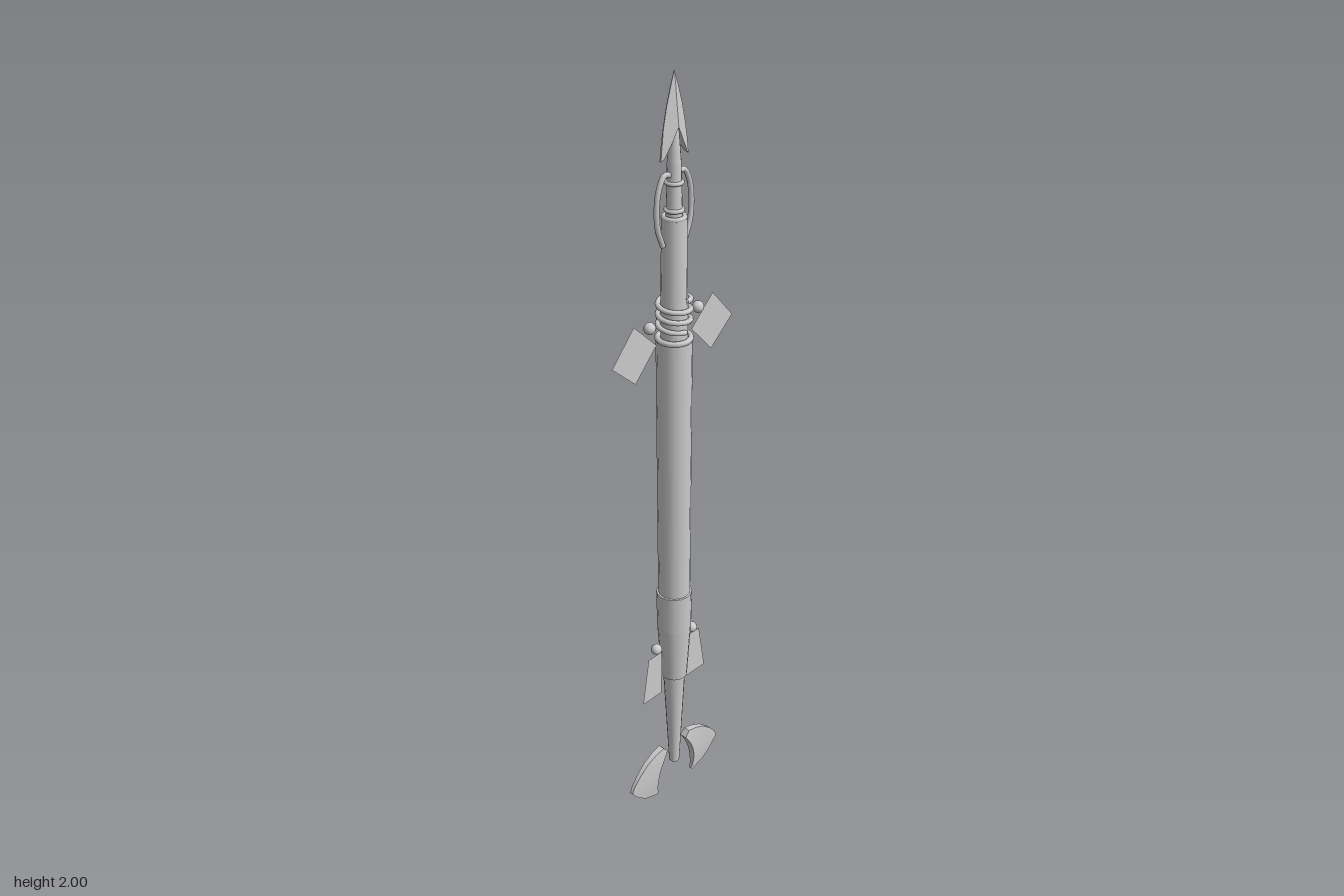
import * as THREE from 'three';
import { toCreasedNormals } from 'three/addons/utils/BufferGeometryUtils.js';

const mat = new THREE.MeshStandardMaterial({ color: 0xcccccc });
const thin = new THREE.MeshStandardMaterial({ color: 0xcccccc, side: THREE.DoubleSide });

function add(parent, name, geometry, material = mat) {
  const mesh = new THREE.Mesh(geometry, material);
  mesh.name = name;
  parent.add(mesh);
  return mesh;
}

// Upright round section between two heights
function rod(parent, name, y0, y1, r0, r1, sides = 16) {
  const mesh = add(parent, name, new THREE.CylinderGeometry(r1, r0, y1 - y0, sides));
  mesh.position.y = (y0 + y1) / 2;
}

function collar(parent, name, y, radius, tube) {
  const mesh = add(parent, name, new THREE.TorusGeometry(radius, tube, 8, 20));
  mesh.rotation.x = Math.PI / 2;
  mesh.position.y = y;
}

// Blade lofted from rows of [outerZ, outerY, innerZ, innerY, outerHalf, innerHalf]
function blade(rows) {
  const pos = [], index = [];
  for (const [oz, oy, iz, iy, to, ti] of rows) {
    pos.push(to, oy, oz, -to, oy, oz, -ti, iy, iz, ti, iy, iz);
  }
  for (let i = 0; i < rows.length - 1; i++) {
    for (let k = 0; k < 4; k++) {
      const a = i * 4 + k, b = i * 4 + (k + 1) % 4;
      index.push(a, b, b + 4, a, b + 4, a + 4);
    }
  }
  const e = (rows.length - 1) * 4;
  index.push(0, 2, 1, 0, 3, 2, e, e + 1, e + 2, e, e + 2, e + 3);
  const geo = new THREE.BufferGeometry();
  geo.setAttribute('position', new THREE.Float32BufferAttribute(pos, 3));
  geo.setIndex(index);
  return toCreasedNormals(geo, 0.6);
}

// Flat cloth tag in the zy plane
function tag(points) {
  const geo = new THREE.ShapeGeometry(new THREE.Shape(points.map(([z, y]) => new THREE.Vector2(z, y))));
  return geo.rotateY(-Math.PI / 2);
}

function bead(parent, name, z, y) {
  add(parent, name, new THREE.SphereGeometry(0.0145, 16, 12)).position.set(0, y, z);
}

// Everything repeated on the front and back of the shaft
function createSide() {
  const side = new THREE.Group();

  add(side, 'spearheadHalf', blade([
    [0, 2, 0, 2, 0.0005, 0.0005],
    [0.012, 1.965, 0, 1.965, 0.001, 0.005],
    [0.024, 1.925, 0, 1.925, 0.001, 0.009],
    [0.034, 1.88, 0, 1.88, 0.001, 0.014],
    [0.039, 1.845, 0.016, 1.85, 0.002, 0.011],
    [0.043, 1.81, 0.034, 1.818, 0.002, 0.006],
  ]), thin);

  const hook = new THREE.CatmullRomCurve3([
    [0.01, 1.772], [0.03, 1.777], [0.049, 1.745], [0.055, 1.7], [0.051, 1.655], [0.036, 1.615],
  ].map(([z, y]) => new THREE.Vector3(0, y, z)));
  add(side, 'hook', new THREE.TubeGeometry(hook, 24, 0.0065, 8), thin);

  bead(side, 'upperBead', 0.08, 1.43);
  add(side, 'upperTag', tag([[0.13, 1.45], [0.058, 1.38], [0.127, 1.305], [0.2, 1.37]]), thin);
  bead(side, 'lowerBead', 0.066, 0.505);
  add(side, 'lowerTag', tag([[0.095, 0.485], [0.046, 0.485], [0.048, 0.35], [0.117, 0.35]]), thin);

  add(side, 'buttBlade', blade([
    [0.05, 0.159, 0.036, 0.142, 0.009, 0.01],
    [0.08, 0.151, 0.046, 0.127, 0.008, 0.012],
    [0.11, 0.136, 0.056, 0.108, 0.007, 0.012],
    [0.14, 0.11, 0.064, 0.088, 0.006, 0.011],
    [0.16, 0.085, 0.069, 0.068, 0.005, 0.01],
    [0.167, 0.068, 0.071, 0.05, 0.005, 0.009],
    [0.145, 0.04, 0.071, 0.034, 0.004, 0.007],
    [0.115, 0.016, 0.069, 0.018, 0.004, 0.005],
    [0.07, 0, 0.065, 0.006, 0.003, 0.003],
  ]), thin);
  return side;
}

export function createModel() {
  const model = new THREE.Group();
  model.name = 'ceremonialSpear';

  // Shaft from butt to neck
  rod(model, 'buttShaft', 0.085, 0.39, 0.014, 0.029);
  rod(model, 'sleeveTaper', 0.39, 0.55, 0.034, 0.044);
  rod(model, 'sleeve', 0.55, 0.66, 0.044, 0.046);
  rod(model, 'mainShaft', 0.66, 1.38, 0.041, 0.043);
  rod(model, 'upperShaft', 1.38, 1.675, 0.032, 0.029);
  rod(model, 'neck', 1.67, 1.8, 0.019, 0.016);
  rod(model, 'socket', 1.8, 1.89, 0.016, 0.009);

  // Bands on the neck and at the shoulder
  collar(model, 'shoulderRing', 1.38, 0.039, 0.007);
  collar(model, 'neckBase', 1.675, 0.024, 0.006);
  collar(model, 'neckBand', 1.692, 0.019, 0.005);
  collar(model, 'neckTopBand', 1.755, 0.018, 0.005);

  // Cord wound round the upper shaft
  const coil = [];
  for (let i = 0; i <= 48; i++) {
    const a = i / 48 * Math.PI * 6;
    coil.push(new THREE.Vector3(Math.cos(a) * 0.038, 1.405 + 0.076 * i / 48, Math.sin(a) * 0.038));
  }
  add(model, 'cord', new THREE.TubeGeometry(new THREE.CatmullRomCurve3(coil), 120, 0.0065, 8));

  const front = createSide();
  front.name = 'frontFittings';
  const back = createSide();
  back.name = 'backFittings';
  back.rotation.y = Math.PI;
  model.add(front, back);
  return model;
}
